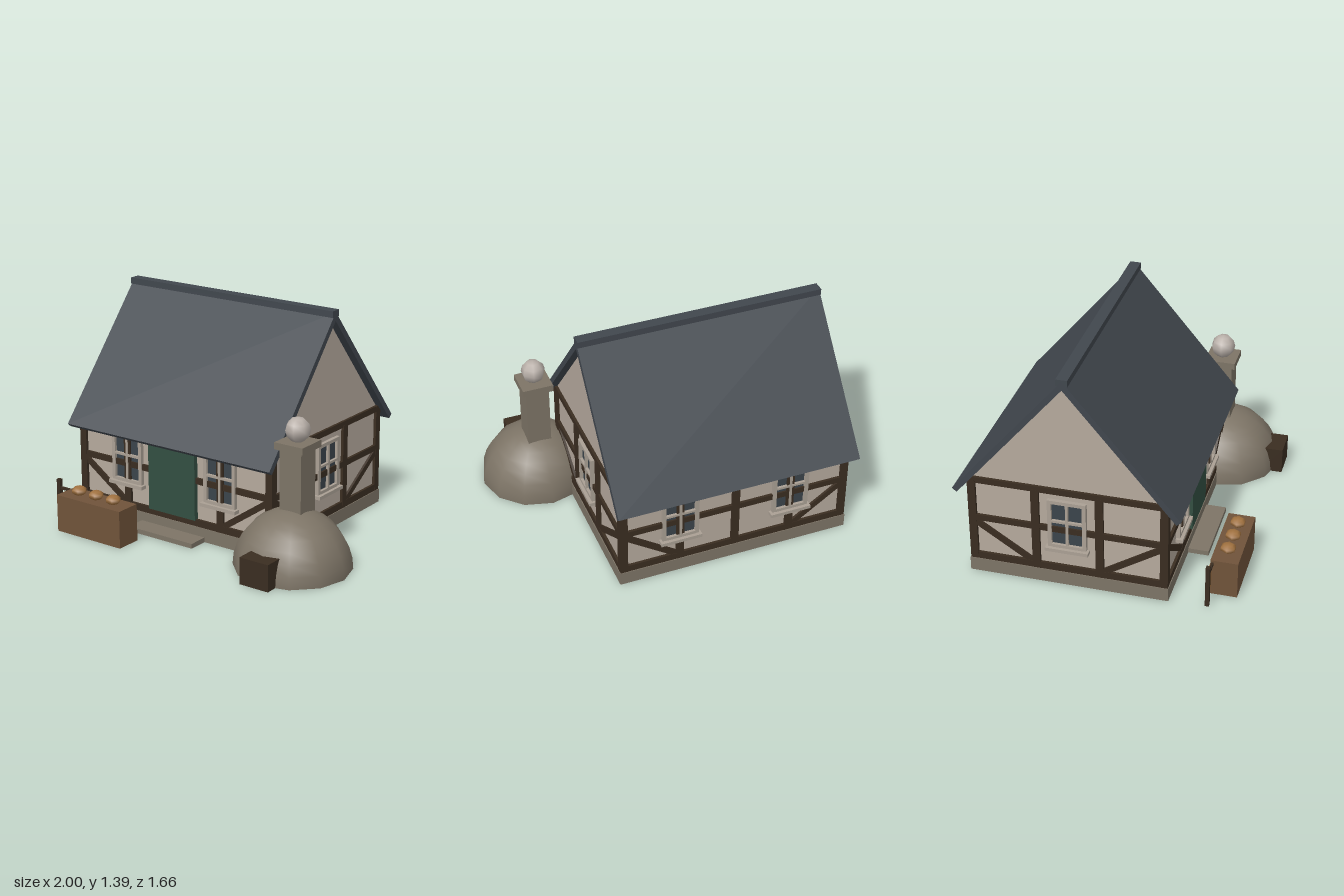
import * as THREE from 'three';

const mat = (name, color, side = THREE.FrontSide) => {
  const m = new THREE.MeshStandardMaterial({ color, side });
  m.name = name;
  return m;
};

export function createModel() {
  const M = {
    plaster: mat('plaster', 0xb5a99d),
    timber: mat('darkTimber', 0x3a2d21),
    stone: mat('stone', 0x7d7466, THREE.DoubleSide),
    slate: mat('slate', 0x41474e),
    door: mat('greenPaint', 0x334f42),
    wood: mat('counterWood', 0x70533a),
    crust: mat('goldenBrown', 0xa0713f),
    glass: mat('glass', 0x3b444b),
    trim: mat('windowTrim', 0xaaa094),
    smoke: mat('smoke', 0xb9b0a9),
  };
  const model = new THREE.Group();
  model.name = 'bakeryCottage';

  const add = (parent, name, geo, material, x = 0, y = 0, z = 0) => {
    const mesh = new THREE.Mesh(geo, material);
    mesh.name = name;
    mesh.position.set(x, y, z);
    parent.add(mesh);
    return mesh;
  };
  // Box given by its limits on each axis
  const box = (parent, name, material, x0, x1, y0, y1, z0, z1) =>
    add(parent, name, new THREE.BoxGeometry(x1 - x0, y1 - y0, z1 - z0), material,
      (x0 + x1) / 2, (y0 + y1) / 2, (z0 + z1) / 2);
  // Cross-section in z and y, extruded along x
  const prism = (parent, name, material, pts, x0, x1) => {
    const shape = new THREE.Shape(pts.map(([z, y]) => new THREE.Vector2(-z, y)));
    const geo = new THREE.ExtrudeGeometry(shape, { depth: x1 - x0, bevelEnabled: false });
    geo.rotateY(Math.PI / 2);
    return add(parent, name, geo, material, x0, 0, 0);
  };

  // House body, centred on its own origin
  const house = new THREE.Group();
  house.name = 'house';
  house.position.set(-0.235, 0, -0.15);
  model.add(house);
  const HX = 0.735, HZ = 0.6, inset = 0.018;
  box(house, 'foundation', M.stone, -HX - 0.004, HX + 0.004, 0, 0.086, -HZ - 0.004, HZ + 0.004);
  box(house, 'walls', M.plaster, -HX + inset, HX - inset, 0.08, 0.63, -HZ + inset, HZ - inset);
  prism(house, 'gables', M.plaster,
    [[0.582, 0.62], [0.582, 0.642], [0, 1.335], [-0.582, 0.642], [-0.582, 0.62]],
    -HX + inset, HX - inset);

  // Roof and ridge
  const rx0 = -0.765, rx1 = 0.77;
  prism(house, 'roof', M.slate,
    [[0.68, 0.58], [0, 1.385], [-0.68, 0.58], [-0.653, 0.557], [0, 1.33], [0.653, 0.557]], rx0, rx1);
  box(house, 'ridge', M.slate, rx0, rx1, 1.355, 1.395, -0.034, 0.034);

  // Window in wall coordinates: the wall's outer timber plane is z = 0
  const addWindow = (wall, u) => {
    const g = new THREE.Group();
    g.name = 'window';
    g.position.x = u;
    wall.add(g);
    box(g, 'glass', M.glass, -0.094, 0.094, 0.275, 0.558, -0.02, -0.012);
    for (const s of [-1, 1])
      box(g, 'frameSide', M.trim, s * 0.104 - 0.012, s * 0.104 + 0.012, 0.26, 0.577, -0.02, 0.006);
    box(g, 'frameTop', M.trim, -0.092, 0.092, 0.555, 0.577, -0.02, 0.006);
    box(g, 'frameBottom', M.trim, -0.092, 0.092, 0.256, 0.278, -0.02, 0.006);
    box(g, 'uprightBar', M.trim, -0.008, 0.008, 0.278, 0.555, -0.02, 0.005);
    box(g, 'crossBar', M.trim, -0.092, 0.092, 0.427, 0.442, -0.02, 0.005);
    box(g, 'sill', M.trim, -0.13, 0.13, 0.236, 0.258, -0.02, 0.026);
  };

  // Half-timbered wall with evenly spaced posts and two mirrored braces
  const addWall = (name, angle, half, dist, bays, windows) => {
    const wall = new THREE.Group();
    wall.name = name;
    wall.rotation.y = angle;
    wall.position.set(Math.sin(angle) * dist, 0, Math.cos(angle) * dist);
    house.add(wall);
    const end = half - 0.024, step = (2 * end) / bays;
    for (let i = 0; i <= bays; i++) {
      const u = -end + i * step;
      box(wall, 'post', M.timber, u - 0.024, u + 0.024, 0.086, 0.63, -0.045, 0);
    }
    for (const [y0, y1] of [[0.086, 0.13], [0.358, 0.396], [0.617, 0.655]])
      box(wall, 'beam', M.timber, -half, half, y0, y1, -0.045, -0.001);
    for (const s of [-1, 1]) {
      const a = new THREE.Vector2(s * (end - 0.01), 0.352);
      const b = new THREE.Vector2(s * (end - step + 0.01), 0.118);
      const d = b.clone().sub(a);
      const brace = add(wall, 'brace', new THREE.BoxGeometry(d.length(), 0.038, 0.03), M.timber,
        (a.x + b.x) / 2, (a.y + b.y) / 2, -0.018);
      brace.rotation.z = Math.atan2(d.y, d.x);
    }
    windows.forEach((u) => addWindow(wall, u));
    return wall;
  };
  const front = addWall('frontWall', 0, HX, HZ, 4, [-0.355, 0.355]);
  addWall('backWall', Math.PI, HX, HZ, 4, [-0.355, 0.355]);
  addWall('leftWall', Math.PI / 2, HZ, HX, 3, [0]);
  addWall('rightWall', -Math.PI / 2, HZ, HX, 3, [0]);

  // Door and doorstep
  box(front, 'door', M.door, -0.177, 0.177, 0.125, 0.61, -0.03, 0.012);
  box(front, 'doorstep', M.stone, -0.243, 0.243, 0, 0.03, -0.02, 0.13);

  // Domed oven with chimney
  const oven = new THREE.Group();
  oven.name = 'oven';
  oven.position.set(0.642, 0, 0.44);
  model.add(oven);
  const dome = add(oven, 'dome',
    new THREE.SphereGeometry(0.355, 12, 8, 0, Math.PI * 2, 0, Math.PI / 2), M.stone);
  dome.scale.z = 0.975;
  box(oven, 'ovenMouth', M.timber, -0.098, 0.098, 0, 0.165, 0.24, 0.393);
  box(oven, 'chimney', M.stone, -0.074, 0.074, 0.25, 0.72, -0.114, 0.034);
  box(oven, 'chimneyCap', M.stone, -0.097, 0.097, 0.715, 0.757, -0.137, 0.057);
  add(oven, 'smokePuff', new THREE.SphereGeometry(0.076, 7, 6), M.smoke, 0, 0.826, -0.04);

  // Sales counter with loaves
  const stall = new THREE.Group();
  stall.name = 'stall';
  model.add(stall);
  box(stall, 'counter', M.wood, -0.835, -0.34, 0, 0.235, 0.667, 0.831);
  for (let i = 0; i < 3; i++) {
    const loaf = add(stall, 'loaf', new THREE.SphereGeometry(0.049, 6, 5), M.crust,
      -0.725 + i * 0.135, 0.262, 0.748);
    loaf.scale.y = 0.6;
  }

  // Hanging board on a post
  box(stall, 'signPost', M.timber, -0.962, -0.936, 0, 0.27, 0.668, 0.692);
  box(stall, 'signArm', M.timber, -0.95, -0.8, 0.205, 0.222, 0.673, 0.687);
  box(stall, 'signBoard', M.crust, -0.905, -0.79, 0.06, 0.19, 0.66, 0.676);

  return model;
}
